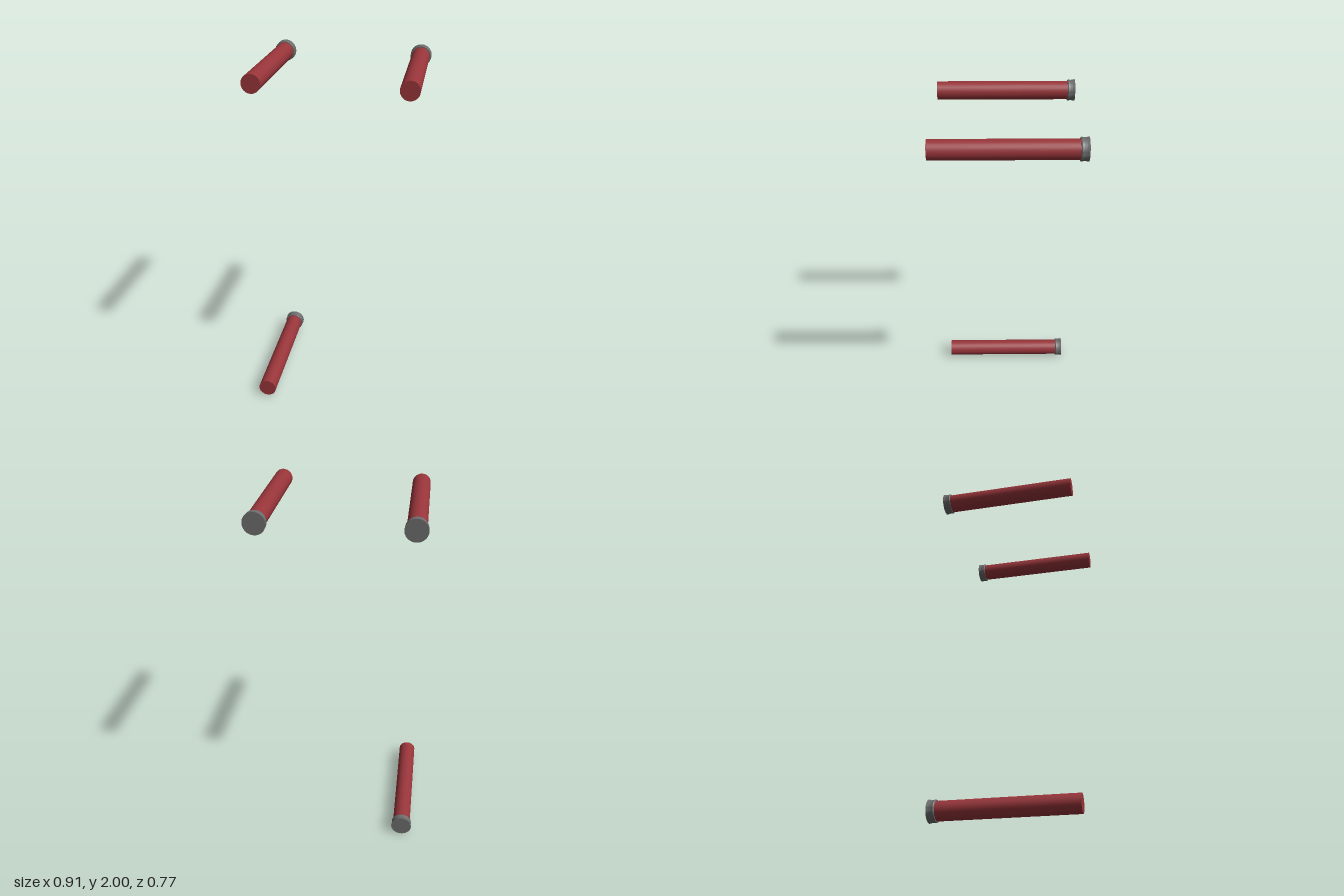
import * as THREE from 'three';
import { toCreasedNormals } from 'three/addons/utils/BufferGeometryUtils.js';

export function createModel() {
  const model = new THREE.Group();
  const red = new THREE.MeshStandardMaterial({ color: 0x98353a });
  const grey = new THREE.MeshStandardMaterial({ color: 0x6c6c6c });

  const back = -0.385, front = 0.385, capFront = -0.344;
  const capRadius = 0.0595, pegRadius = 0.0505;

  // Round shaft running along z, its end tucked into the cap
  const shaftBack = -0.36;
  const shaftGeometry = new THREE.CylinderGeometry(pegRadius, pegRadius, front - shaftBack, 48);
  shaftGeometry.rotateX(Math.PI / 2).translate(0, 0, (front + shaftBack) / 2);

  // Cap profile: flared flat back, narrow waist, rounded lip at the shaft
  const side = new THREE.CatmullRomCurve3([
    [capRadius, back], [0.0578, -0.377], [0.0558, -0.366], [0.0562, -0.358],
    [0.0578, -0.352], [0.0575, -0.347], [0.0555, capFront],
  ].map(([r, z]) => new THREE.Vector3(r, z, 0))).getPoints(18);
  const profile = [
    new THREE.Vector2(0, back),
    ...side.map((p) => new THREE.Vector2(p.x, p.y)),
    new THREE.Vector2(0, capFront),
  ];
  const capGeometry = toCreasedNormals(new THREE.LatheGeometry(profile, 48).rotateX(Math.PI / 2), 0.7);

  // Three pegs at the corners: upper right, upper left and lower right
  const x = 0.3955, low = capRadius, high = 2 - capRadius;
  const places = [['upperRightPeg', -x, high], ['upperLeftPeg', x, high], ['lowerRightPeg', -x, low]];
  for (const [name, px, py] of places) {
    const peg = new THREE.Group();
    peg.name = name;
    const shaft = new THREE.Mesh(shaftGeometry, red);
    shaft.name = 'shaft';
    const cap = new THREE.Mesh(capGeometry, grey);
    cap.name = 'cap';
    peg.add(shaft, cap);
    peg.position.set(px, py, 0);
    model.add(peg);
  }
  return model;
}
